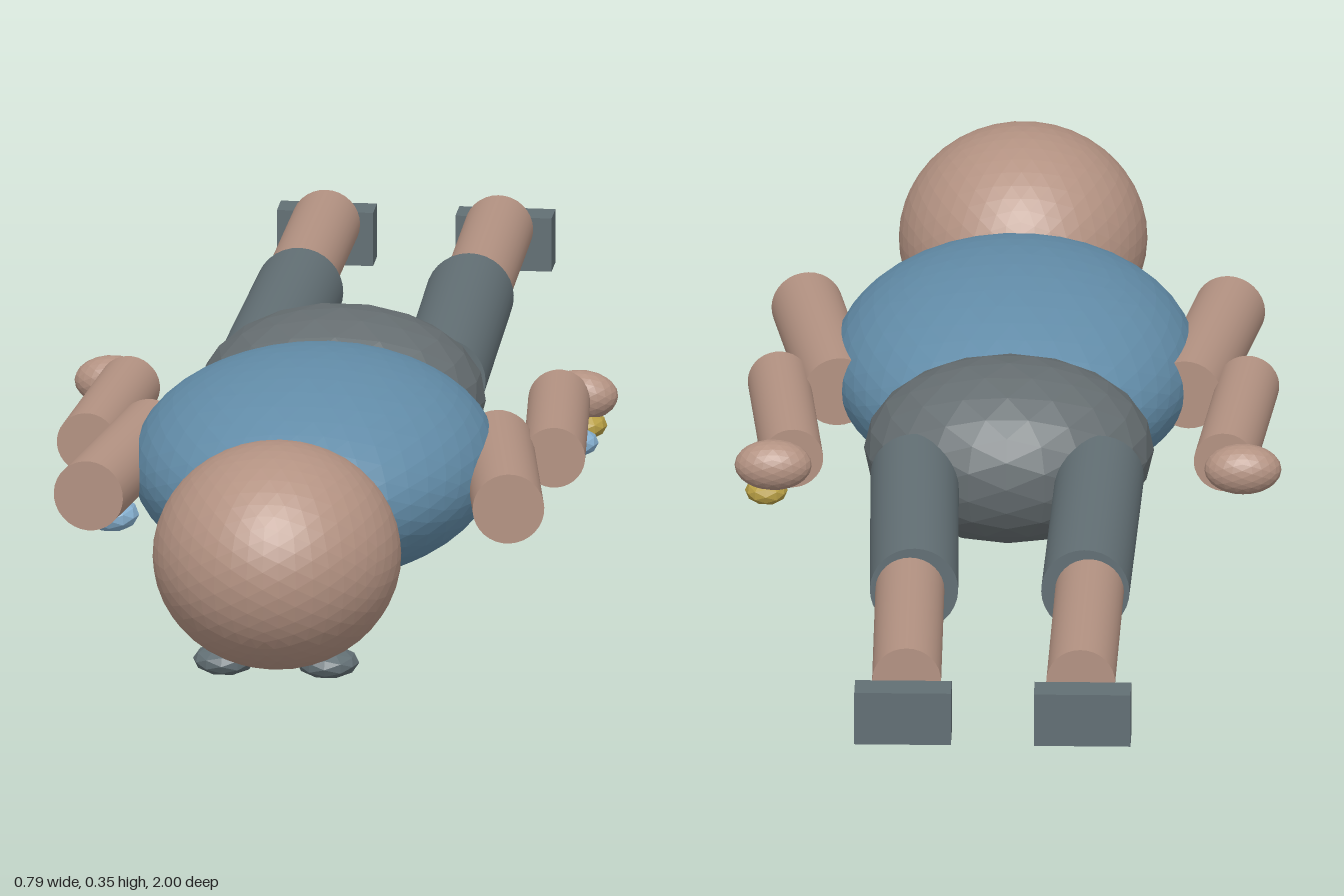
import * as THREE from 'three';

function mat(name, color, flat = false) {
  const m = new THREE.MeshStandardMaterial({ color, flatShading: flat });
  m.name = name;
  return m;
}

export function createModel() {
  const model = new THREE.Group();
  model.name = 'lyingFigure';

  const skin = mat('skin', 0xb39282);
  const shirt = mat('shirtBlue', 0x628ca8);
  const trousers = mat('trouserGrey', 0x626f74);
  const hips = mat('hipGrey', 0x656d70);
  const yellow = mat('yellow', 0xb89f45);
  const paleBlue = mat('paleBlue', 0x86b0d0);

  function add(name, geometry, material) {
    const mesh = new THREE.Mesh(geometry, material);
    mesh.name = name;
    model.add(mesh);
    return mesh;
  }

  // Faceted ellipsoid; each icosahedron edge is split into detail + 1
  function blob(name, material, detail, pos, radii) {
    const g = new THREE.IcosahedronGeometry(1, detail);
    g.scale(...radii);
    g.computeVertexNormals();
    return add(name, g, material).position.set(...pos);
  }

  // Round limb between two points
  function limb(name, material, radius, from, to) {
    const a = new THREE.Vector3(...from), b = new THREE.Vector3(...to);
    const dir = b.clone().sub(a);
    const mesh = add(name, new THREE.CylinderGeometry(radius, radius, dir.length(), 32), material);
    mesh.position.copy(a).add(b).multiplyScalar(0.5);
    mesh.quaternion.setFromUnitVectors(new THREE.Vector3(0, 1, 0), dir.normalize());
  }

  // Head, neck and body
  blob('head', skin, 7, [0, 0.19, 0.81], [0.18, 0.165, 0.187]);
  limb('neck', skin, 0.09, [0, 0.19, 0.45], [0, 0.19, 0.59]);
  blob('torso', shirt, 7, [0, 0.19, 0.317], [0.265, 0.155, 0.33]);
  blob('pelvis', hips, 3, [0, 0.192, -0.02], [0.21, 0.133, 0.165]);

  // Mirrored arms, legs and feet
  for (const [side, s] of [['left', 1], ['right', -1]]) {
    limb(side + 'UpperArm', skin, 0.052, [s * 0.252, 0.19, 0.2], [s * 0.306, 0.19, 0.535]);
    limb(side + 'Forearm', skin, 0.045, [s * 0.34, 0.187, 0.25], [s * 0.313, 0.187, -0.055]);
    blob(side + 'Hand', skin, 3, [s * 0.34, 0.187, -0.08], [0.056, 0.037, 0.037]);
    limb(side + 'Thigh', trousers, 0.064, [s * 0.134, 0.19, -0.122], [s * 0.124, 0.19, -0.57]);
    limb(side + 'Shin', skin, 0.05, [s * 0.13, 0.19, -0.57], [s * 0.126, 0.19, -0.925]);
    add(side + 'Foot', new THREE.BoxGeometry(0.14, 0.08, 0.05), trousers).position.set(s * 0.13, 0.16, -0.975);
    blob(side + 'HeadPad', trousers, 1, [s * 0.075, 0.034, 0.82], [0.046, 0.022, 0.046]);
  }

  // Small pads on the underside
  blob('chestPad', yellow, 1, [0, 0.027, 0.43], [0.038, 0.025, 0.038]);
  blob('bellyPad', skin, 1, [0, 0.032, 0.255], [0.052, 0.023, 0.052]);
  blob('rightArmPad', paleBlue, 1, [-0.29, 0.118, 0.375], [0.04, 0.025, 0.04]);
  blob('leftWristPad', paleBlue, 1, [0.345, 0.138, -0.005], [0.031, 0.02, 0.031]);
  blob('leftHandPad', yellow, 1, [0.35, 0.145, -0.073], [0.031, 0.02, 0.031]);

  for (const m of [skin, shirt, trousers, hips, yellow, paleBlue]) m.flatShading = false;
  return model;
}
